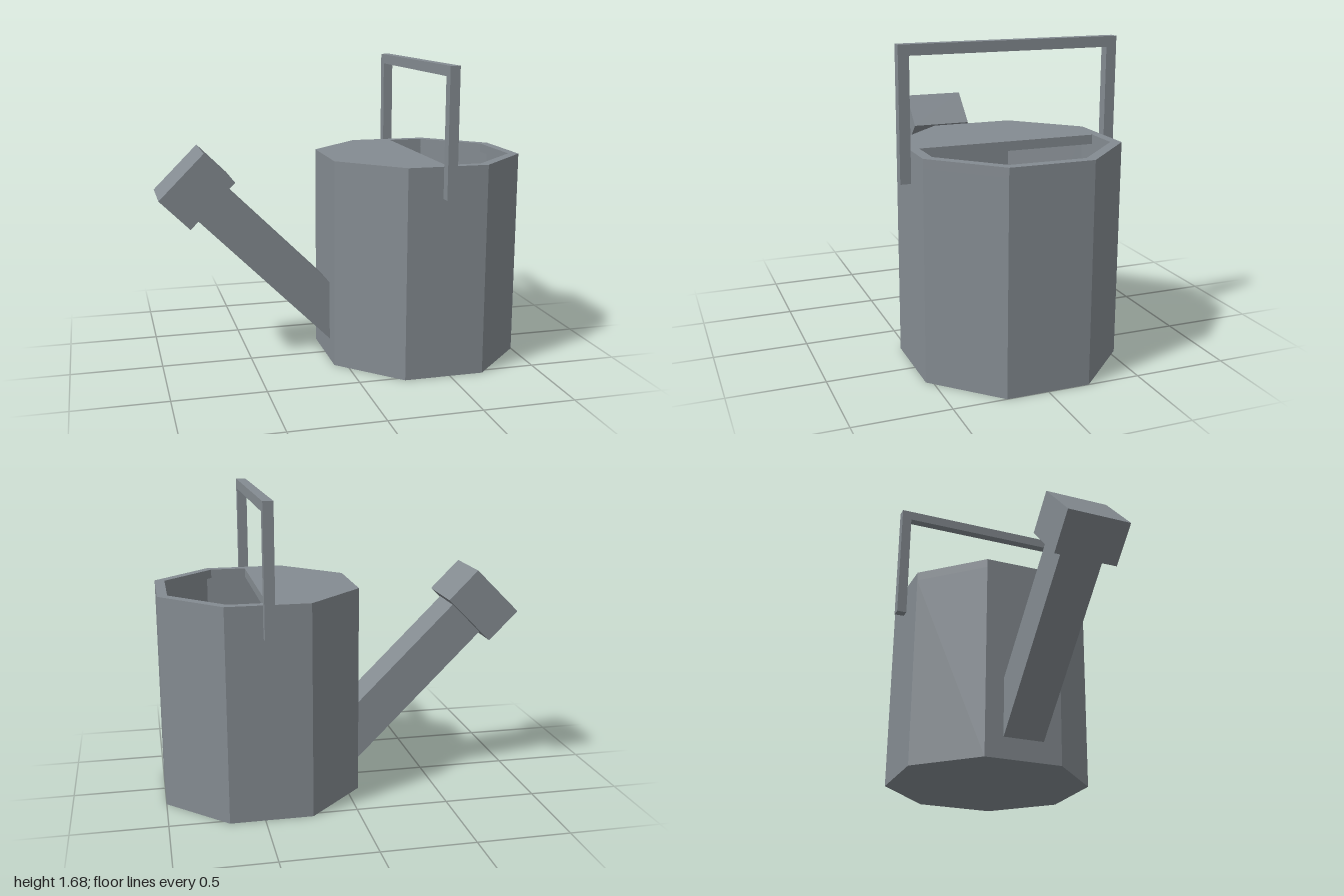
import * as THREE from 'three';

const metal = new THREE.MeshStandardMaterial({ color: 0x848b91, flatShading: true });
metal.name = 'grey metal';
const shellMetal = metal.clone();
shellMetal.side = THREE.DoubleSide;

const CX = 0.466;      // body axis
const APOTHEM = 0.534; // centre to flat side
const HEIGHT = 1.155;
const PLATE = 0.05;    // thickness of the top plate

function add(parent, name, geometry, material = metal) {
  const mesh = new THREE.Mesh(geometry, material);
  mesh.name = name;
  parent.add(mesh);
  return mesh;
}

// Corners of a flat-sided octagon with the given apothem
function octagon(apothem) {
  const r = apothem / Math.cos(Math.PI / 8);
  return Array.from({ length: 8 }, (_, i) => {
    const a = Math.PI / 8 + (i * Math.PI) / 4;
    return new THREE.Vector2(r * Math.cos(a), r * Math.sin(a));
  });
}

export function createModel() {
  const can = new THREE.Group();
  can.name = 'wateringCan';

  // Thin octagonal walls and floor
  const r = APOTHEM / Math.cos(Math.PI / 8);
  const profile = [[0, 0], [r, 0], [r, HEIGHT - PLATE]].map(p => new THREE.Vector2(...p));
  const body = add(can, 'body', new THREE.LatheGeometry(profile, 8, Math.PI / 8), shellMetal);
  body.position.x = CX;

  // Top plate: closed on the spout side, open on the other half
  const top = new THREE.Shape(octagon(APOTHEM));
  const inner = octagon(0.481).filter(p => p.x > 0);
  const limit = 0.481;
  top.holes.push(new THREE.Path([
    new THREE.Vector2(0, limit), new THREE.Vector2(0, -limit),
    ...inner.sort((a, b) => a.y - b.y),
  ]));
  const plate = add(can, 'topPlate', new THREE.ExtrudeGeometry(top, { depth: PLATE, bevelEnabled: false }).rotateX(-Math.PI / 2));
  plate.position.set(CX, HEIGHT - PLATE, 0);

  // Square handle arching across the body
  const handle = new THREE.Group();
  handle.name = 'handle';
  can.add(handle);
  add(handle, 'handleBar', new THREE.BoxGeometry(0.054, 0.055, 1.18)).position.set(CX, 1.648, 0);
  for (const side of [1, -1]) {
    add(handle, side > 0 ? 'frontHandleLeg' : 'backHandleLeg', new THREE.BoxGeometry(0.054, 0.635, 0.056))
      .position.set(CX, 1.303, side * 0.562);
  }

  // Slanted spout, cut off upright where it meets the body
  const spoutSide = new THREE.Shape(
    [[-0.068, 0.12], [-0.068, 0.45], [-0.635, 1.015], [-0.8, 0.852]].map(p => new THREE.Vector2(...p)));
  add(can, 'spout', new THREE.ExtrudeGeometry(spoutSide, { depth: 0.232, bevelEnabled: false }))
    .position.z = -0.116;

  // Box-shaped sprinkler head
  const head = add(can, 'sprinklerHead', new THREE.BoxGeometry(0.343, 0.229, 0.344));
  head.position.set(-0.798, 1.013, 0);
  head.rotation.z = Math.PI / 4;

  return can;
}
